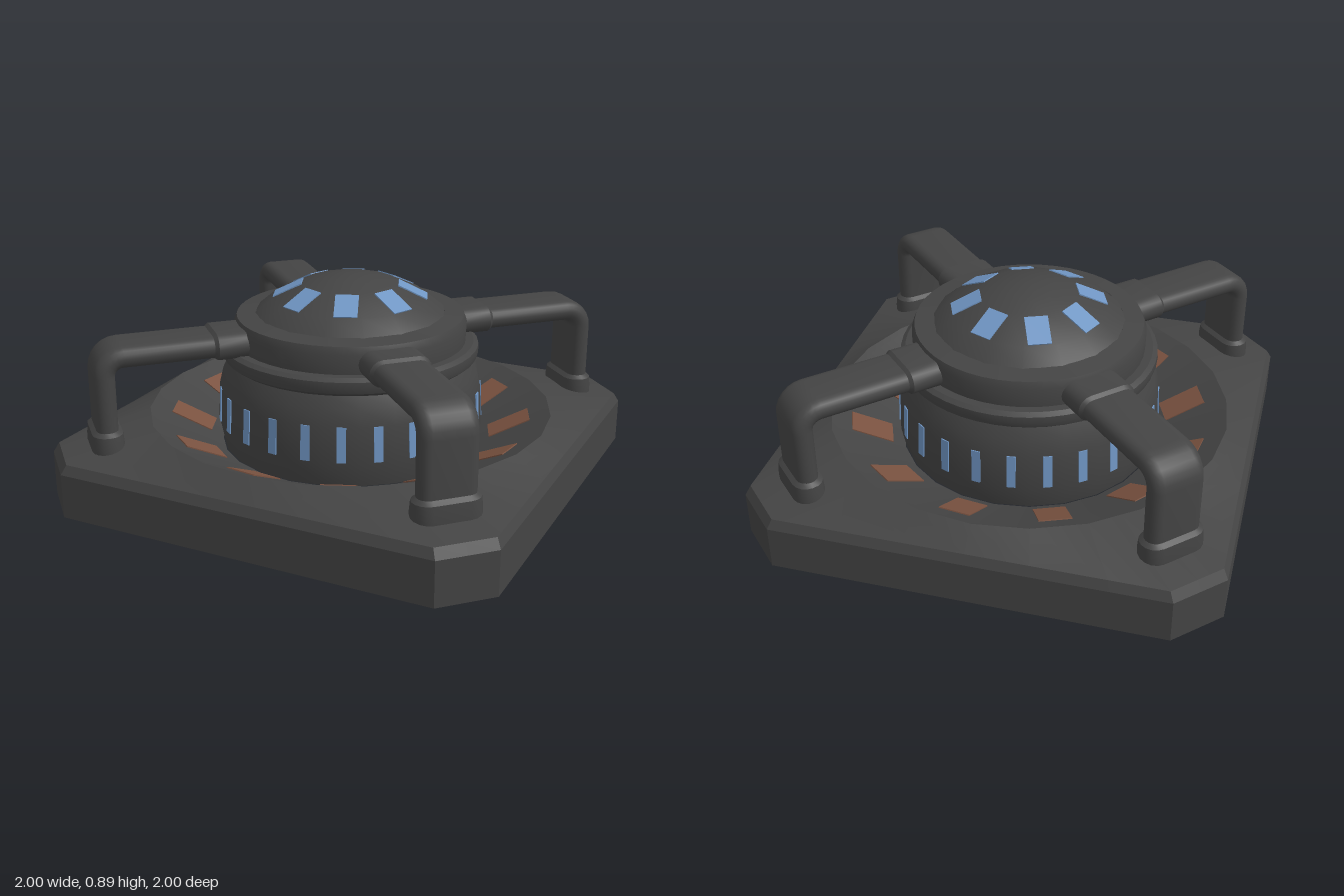
import * as THREE from 'three';
import { toCreasedNormals } from 'three/addons/utils/BufferGeometryUtils.js';

const DEG = Math.PI / 180;
const material = (name, color) => {
  const m = new THREE.MeshStandardMaterial({ color, side: THREE.DoubleSide });
  m.name = name;
  return m;
};

// Skin a list of closed rings (arrays of Vector3 with equal length)
function loft(rings, crease = 0.5) {
  const n = rings[0].length, index = [];
  for (let i = 0; i < rings.length - 1; i++) {
    for (let j = 0; j < n; j++) {
      const a = i * n + j, b = i * n + (j + 1) % n;
      index.push(a, b, a + n, b, b + n, a + n);
    }
  }
  const g = new THREE.BufferGeometry().setFromPoints(rings.flat());
  g.setIndex(index);
  return toCreasedNormals(g, crease);
}

function lathe(profile, segments, phi = 0) {
  const pts = profile.map(([r, y]) => new THREE.Vector2(r, y));
  return toCreasedNormals(new THREE.LatheGeometry(pts, segments, phi), 0.5);
}

// Flat pill section swept in the radial plane; stations are [x, y, normalAngle, grow]
function pillSweep(stations) {
  return loft(stations.map(([x, y, a, grow = 0]) => {
    const ring = [], r = 0.045 + grow;
    for (let i = 0; i < 18; i++) {
      const t = (i < 9 ? i * 22.5 : 180 + (i - 9) * 22.5) * DEG - Math.PI / 2;
      // half circles on the two narrow sides, straight in between
      const u = r * Math.sin(t), w = r * Math.cos(t) + (i < 9 ? 0.075 : -0.075);
      ring.push(new THREE.Vector3(x + Math.cos(a) * u, y + Math.sin(a) * u, w));
    }
    return ring.reverse();
  }), 0.6);
}

export function createModel() {
  const model = new THREE.Group();
  model.name = 'domedDevice';
  const metal = material('darkMetal', 0x444444);
  const blue = material('blueLight', 0x7096c4);
  const orange = material('orangeLight', 0x7a5240);

  const add = (name, geometry, mat, parent = model) => {
    const mesh = new THREE.Mesh(geometry, mat);
    mesh.name = name;
    parent.add(mesh);
    return mesh;
  };

  // Base: open octagonal skirt, bevel, then a roof rising to the round rim
  const angles = [];
  for (let q = 0; q < 4; q++) {
    for (const a of [0, 15, 30, 39.35, 45, 50.65, 60, 75]) angles.push((a + q * 90) * DEG);
  }
  const octagon = (h, y) => angles.map((a) => {
    const c = Math.abs(Math.cos(a)), s = Math.abs(Math.sin(a));
    const r = h / Math.max(c, s, (c + s) / 1.82);
    return new THREE.Vector3(r * Math.cos(a), y, -r * Math.sin(a));
  });
  const rim = (radius, y) => angles.map((a) => {
    const half = 7.5 * DEG;
    const r = radius * Math.cos(half) / Math.cos((a % (2 * half)) - half);
    return new THREE.Vector3(r * Math.cos(a), y, -r * Math.sin(a));
  });
  add('base', loft([octagon(1, 0), octagon(1, 0.19), octagon(0.98, 0.23), rim(0.88, 0.3)], 0.35), metal);

  // Sunken dish between rim and body
  add('dish', lathe([[0.565, 0.15], [0.855, 0.288], [0.88, 0.3]], 24), metal);

  // Body, ring, shoulder band and faceted cap
  add('body', lathe([[0.56, 0.15], [0.58, 0.25], [0.572, 0.41], [0.555, 0.48], [0.53, 0.535]], 24), metal);
  add('ring', lathe([[0.53, 0.53], [0.55, 0.545], [0.557, 0.57], [0.555, 0.595], [0.535, 0.608], [0.5, 0.608]], 48), metal);
  add('shoulder', lathe([[0.5, 0.605], [0.503, 0.69], [0.49, 0.722], [0.405, 0.732]], 48), metal);
  add('cap', lathe([[0.412, 0.73], [0.34, 0.79], [0.2, 0.856], [0.1, 0.882], [0, 0.893]], 16, 11.25 * DEG), metal);

  // Thin light panels laid on the facets, from (r1, y1) to (r2, y2)
  function lights(name, mat, count, offset, facets, width, [r1, y1], [r2, y2]) {
    const k = Math.cos(Math.PI / facets), dr = (r2 - r1) * k, dy = y2 - y1;
    const geometry = new THREE.BoxGeometry(Math.hypot(dr, dy), 0.0095, width);
    for (let i = 0; i < count; i++) {
      const pivot = new THREE.Group();
      pivot.name = name + 'Pivot';
      pivot.rotation.y = -(offset + i * 360 / count) * DEG;
      const panel = add(name, geometry, mat, pivot);
      panel.position.set((r1 + r2) / 2 * k, (y1 + y2) / 2, 0);
      panel.rotation.z = Math.atan2(dy, dr);
      model.add(pivot);
    }
  }
  lights('bodyWindow', blue, 24, 7.5, 24, 0.038, [0.58, 0.26], [0.572, 0.41]);
  lights('capWindow', blue, 8, 22.5, 16, 0.098, [0.335, 0.7924], [0.21, 0.8513]);
  lights('dishLight', orange, 12, 7.5, 24, 0.135, [0.62, 0.1762], [0.795, 0.2594]);

  // Four bent arms with a collar at each end
  const up = Math.PI / 2;
  const path = [[0.46, 0.65, up]];
  for (let i = 0; i <= 6; i++) {
    const a = up * (1 - i / 6);
    path.push([1.0 + 0.08 * Math.cos(a), 0.57 + 0.08 * Math.sin(a), a]);
  }
  path.push([1.08, 0.22, 0]);
  const armGeometry = pillSweep(path);
  const bodyCollar = pillSweep([[0.46, 0.65, up, 0.012], [0.61, 0.65, up, 0.012], [0.625, 0.65, up, 0]]);
  const baseCollar = pillSweep([[1.08, 0.34, 0, 0], [1.08, 0.325, 0, 0.018], [1.08, 0.28, 0, 0.022], [1.08, 0.235, 0, 0.022]]);
  for (let i = 0; i < 4; i++) {
    const arm = new THREE.Group();
    arm.name = 'armAssembly';
    arm.rotation.y = (45 + i * 90) * DEG;
    add('arm', armGeometry, metal, arm);
    add('bodyCollar', bodyCollar, metal, arm);
    add('baseCollar', baseCollar, metal, arm);
    model.add(arm);
  }
  return model;
}
